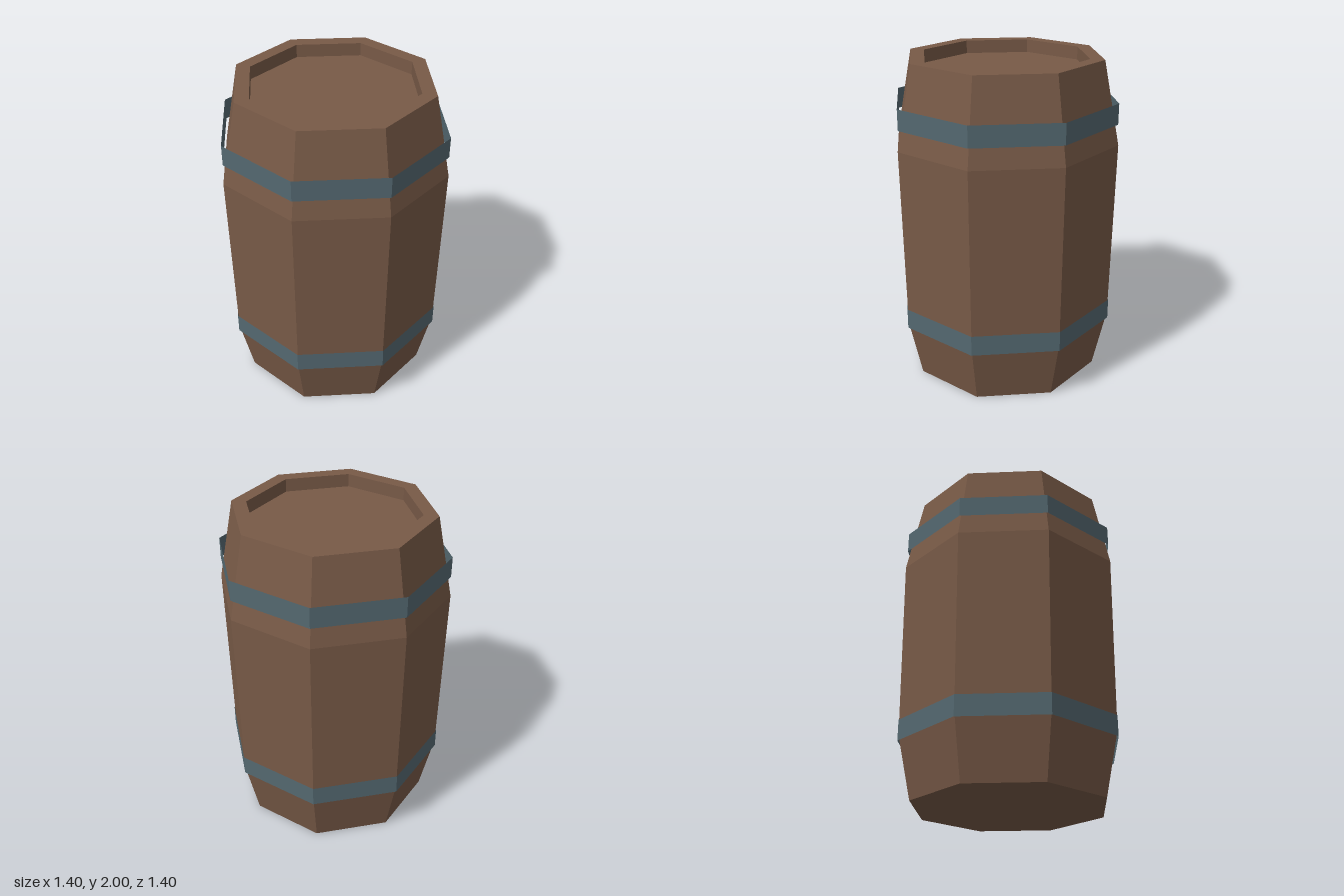
import * as THREE from 'three';

const SIDES = 8;

export function createModel() {
  const barrel = new THREE.Group();
  barrel.name = 'barrel';

  const wood = new THREE.MeshStandardMaterial({ color: 0x785a47, flatShading: true });
  const iron = new THREE.MeshStandardMaterial({ color: 0x546870, flatShading: true, side: THREE.DoubleSide });

  // Wooden body: closed base, bulging staves, rim and recessed lid
  const profile = [
    [0, 0], [0.6, 0], [0.683, 0.38], [0.7, 1.5], [0.6, 2],
    [0.512, 2], [0.512, 1.92], [0, 1.92],
  ].map(([r, y]) => new THREE.Vector2(r, y));
  const body = new THREE.Mesh(new THREE.LatheGeometry(profile, SIDES), wood);
  body.name = 'body';
  barrel.add(body);

  // Thin open hoops around the staves
  const addHoop = (name, radius, bottom, top) => {
    const geometry = new THREE.CylinderGeometry(radius, radius, top - bottom, SIDES, 1, true);
    const hoop = new THREE.Mesh(geometry, iron);
    hoop.position.y = (top + bottom) / 2;
    hoop.name = name;
    barrel.add(hoop);
  };
  addHoop('lowerHoop', 0.688, 0.345, 0.473);
  addHoop('upperHoop', 0.693, 1.625, 1.752);

  return barrel;
}
